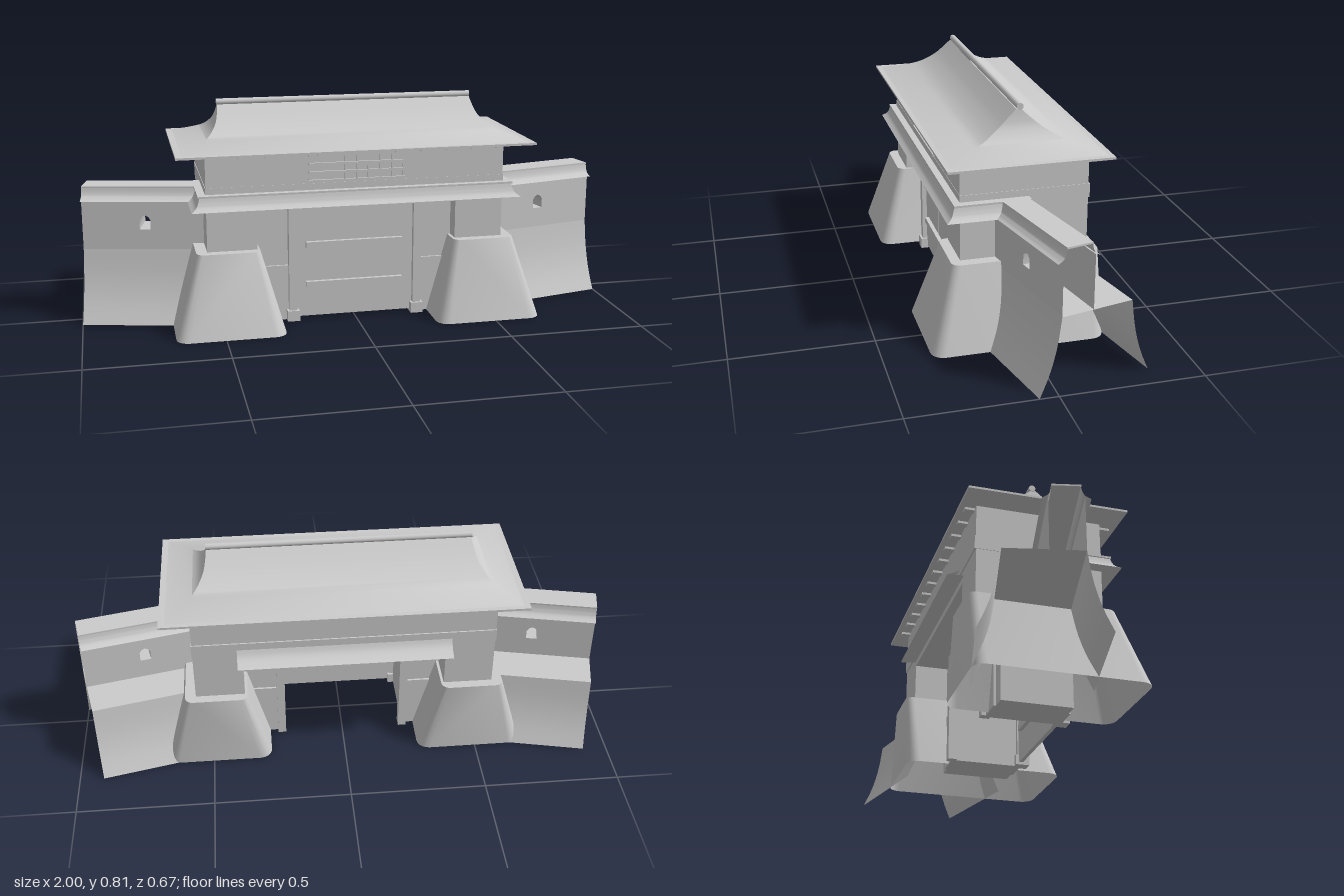
import * as THREE from 'three';
import { toCreasedNormals } from 'three/addons/utils/BufferGeometryUtils.js';

const solid = new THREE.MeshStandardMaterial({ color: 0xcccccc });
const shell = new THREE.MeshStandardMaterial({ color: 0xcccccc, side: THREE.DoubleSide });

function add(parent, name, geometry, material = solid) {
  const mesh = new THREE.Mesh(geometry, material);
  mesh.name = name;
  parent.add(mesh);
  return mesh;
}

// Box given by its min and max on each axis
function box(parent, name, x0, x1, y0, y1, z0, z1) {
  const mesh = add(parent, name, new THREE.BoxGeometry(x1 - x0, y1 - y0, z1 - z0));
  mesh.position.set((x0 + x1) / 2, (y0 + y1) / 2, (z0 + z1) / 2);
  return mesh;
}

// Surface through rows of points, each row with the same number of points
function loft(rows, closed = false, crease = 0.6) {
  const n = rows[0].length, index = [];
  for (let r = 0; r < rows.length - 1; r++) {
    for (let i = 0; i < (closed ? n : n - 1); i++) {
      const a = r * n + i, b = r * n + (i + 1) % n;
      index.push(a, b, b + n, a, b + n, a + n);
    }
  }
  const g = new THREE.BufferGeometry();
  g.setAttribute('position', new THREE.Float32BufferAttribute(rows.flat(2), 3));
  g.setIndex(index);
  return toCreasedNormals(g, crease);
}

// Smooth [a, b] profile through a few points
function smooth(points, steps) {
  return new THREE.SplineCurve(points.map(p => new THREE.Vector2(...p))).getPoints(steps).map(p => [p.x, p.y]);
}

// Rounded rectangle ring at height y
function roundRing(x0, x1, z0, z1, r, y) {
  const ring = [];
  const corners = [[x1 - r, z1 - r], [x0 + r, z1 - r], [x0 + r, z0 + r], [x1 - r, z0 + r]];
  corners.forEach(([cx, cz], c) => {
    for (let k = 0; k <= 5; k++) {
      const a = (c + k / 5) * Math.PI / 2;
      ring.push([cx + r * Math.cos(a), y, cz + r * Math.sin(a)]);
    }
  });
  return ring;
}

// Swept roof: rectangles that shrink concavely towards the ridge
function upperRoof() {
  const g = new THREE.Group();
  g.name = 'upperRoof';
  const zc = -0.01;
  const xs = smooth([[0.65, 0.65], [0.61, 0.66], [0.555, 0.68], [0.52, 0.70], [0.495, 0.73], [0.485, 0.76], [0.48, 0.79]], 24);
  const zs = smooth([[0.282, 0.65], [0.245, 0.66], [0.18, 0.68], [0.125, 0.70], [0.076, 0.73], [0.04, 0.76], [0.008, 0.79]], 24);
  const rows = xs.map(([hx, y], i) => {
    const hz = zs[i][0];
    return [[hx, y, zc + hz], [hx, y, zc - hz], [-hx, y, zc - hz], [-hx, y, zc + hz]];
  });
  add(g, 'roofSurface', loft(rows, true), shell);
  box(g, 'eave', -0.655, 0.655, 0.646, 0.654, -0.295, 0.275);
  const ridge = add(g, 'ridge', new THREE.CylinderGeometry(0.012, 0.012, 0.965, 16));
  ridge.rotation.z = Math.PI / 2;
  ridge.position.set(0, 0.798, -0.015);
  for (let i = 0; i < 12; i++) {
    const x = -0.52 + i * 1.04 / 11;
    box(g, 'frontRafter', x - 0.012, x + 0.012, 0.637, 0.647, 0.2, 0.253);
    box(g, 'backRafter', x - 0.012, x + 0.012, 0.637, 0.647, -0.276, -0.23);
  }
  return g;
}

// Skirt roof around the front and part of the sides, and one at the back
function lowerRoofs() {
  const g = new THREE.Group();
  g.name = 'lowerRoofs';
  const slope = smooth([[0.025, 0.497], [0.03, 0.48], [0.038, 0.465], [0.055, 0.452]], 8);
  const ring = ([o, y]) => {
    const x = 0.55 + o, z = 0.21 + o;
    return [[-x, y, -0.03], [-x, y, z], [x, y, z], [x, y, -0.03]];
  };
  add(g, 'frontSkirtRoof', loft([[0, 0.497], ...slope, [0, 0.457]].map(ring)), shell);
  box(g, 'skirtCap', -0.58, 0.58, 0.497, 0.504, -0.03, 0.236);
  const back = smooth([[0.005, 0.5], [0.015, 0.48], [0.032, 0.465], [0.06, 0.452]], 8);
  const line = ([o, y]) => [[-0.39, y, -0.24 - o], [0.39, y, -0.24 - o]];
  add(g, 'backSkirtRoof', loft([...back, [0, 0.457]].map(line)), shell);
  return g;
}

// Projecting lattice window
function latticeWindow() {
  const g = new THREE.Group();
  g.name = 'latticeWindow';
  for (let i = 0; i < 9; i++) {
    const x = -0.178 + i * 0.0435;
    box(g, 'upright', x - 0.003, x + 0.003, 0.535, 0.633, 0.208, 0.215);
  }
  for (let i = 0; i < 4; i++) {
    const y = 0.537 + i * 0.031;
    box(g, 'bar', -0.182, 0.174, y - 0.004, y + 0.004, 0.208, 0.218);
  }
  return g;
}

// Gate, posts and passage walls
function gateway() {
  const g = new THREE.Group();
  g.name = 'gateway';
  box(g, 'gate', -0.22, 0.22, 0.01, 0.435, 0.145, 0.16);
  box(g, 'gateSeam', -0.003, 0.003, 0.01, 0.435, 0.155, 0.162);
  for (const y of [0.135, 0.287]) {
    box(g, 'frontRail', -0.185, 0.178, y - 0.011, y + 0.011, 0.158, 0.175);
    box(g, 'backRail', -0.185, 0.178, y - 0.011, y + 0.011, 0.13, 0.147);
  }
  for (const s of [-1, 1]) {
    const part = (name, a, b, ...rest) => box(g, name, Math.min(s * a, s * b), Math.max(s * a, s * b), ...rest);
    part('passageWall', 0.235, 0.40, 0, 0.44, -0.11, 0.15);
    part('lowerPanel', 0.25, 0.345, 0, 0.21, -0.118, 0.158);
    part('frontPost', 0.22, 0.25, 0, 0.44, 0.14, 0.178);
    part('backPost', 0.22, 0.25, 0, 0.44, -0.135, -0.1);
    part('postFoot', 0.212, 0.258, 0, 0.04, 0.132, 0.186);
  }
  return g;
}

// Side wall in its own frame: x runs outward to 0, z runs from the front foot backward
function wing() {
  const g = new THREE.Group();
  g.name = 'wing';
  const u0 = -0.45, front = -0.075, back = -0.19;
  const flare = smooth([[0, 0], [0.035, 0.08], [0.06, 0.17], [0.075, 0.27]], 8);
  const section = [...flare.map(([s, y]) => [-s, y]), ...flare.map(([s, y]) => [s - 0.41, y]).reverse()];
  add(g, 'wallBase', loft(section.map(([z, y]) => [[u0, y, z], [0, y, z]])), shell);

  // Parapet faces with a pointed loophole through both
  const hole = [[-0.25, 0.345], [-0.21, 0.345], [-0.21, 0.38], [-0.218, 0.392], [-0.23, 0.398], [-0.242, 0.392], [-0.25, 0.38]];
  const face = new THREE.Shape([[u0, 0.27], [0, 0.27], [0, 0.46], [u0, 0.46]].map(p => new THREE.Vector2(...p)));
  face.holes.push(new THREE.Path(hole.map(p => new THREE.Vector2(...p))));
  for (const z of [front, back]) add(g, 'parapetFace', new THREE.ShapeGeometry(face), shell).position.z = z;
  add(g, 'loophole', loft([front, back].map(z => hole.map(([x, y]) => [x, y, z])), true), shell);

  // Parapet roof with curved slopes and a flat cap
  const eave = smooth([[0.077, 0.453], [0.058, 0.464], [0.049, 0.48], [0.045, 0.5]], 8);
  const mid = (front + back) / 2;
  const roof = [...eave.map(([o, y]) => [mid + o, y]), ...eave.map(([o, y]) => [mid - o, y]).reverse()];
  add(g, 'parapetRoof', loft(roof.map(([z, y]) => [[u0, y, z], [0, y, z]])), shell);
  box(g, 'parapetCap', u0, 0, 0.498, 0.504, mid - 0.047, mid + 0.047);

  g.rotation.y = 0.218;
  g.position.set(1, 0, 0.065);
  return g;
}

export function createModel() {
  const model = new THREE.Group();
  model.name = 'gatehouse';

  // Hall above the passage
  box(model, 'hall', -0.55, 0.55, 0.435, 0.646, -0.24, 0.21);
  box(model, 'hallBand', -0.552, 0.552, 0.478, 0.528, -0.245, 0.211);
  model.add(latticeWindow(), upperRoof(), lowerRoofs(), gateway());

  // Piers, battered bases and side walls on both sides
  for (const s of [-1, 1]) {
    const pier = box(model, 'pier', 0.37, 0.55, 0.28, 0.44, -0.24, 0.21);
    pier.position.x *= s;
    const rings = [
      roundRing(0.28, 0.675, -0.275, 0.335, 0.045, 0),
      roundRing(0.36, 0.59, -0.275, 0.245, 0.03, 0.293),
    ];
    const top = rings[1].map(() => [0.475, 0.293, 0]);
    const base = [...rings, top].map(ring => ring.map(([x, y, z]) => [s * x, y, z]));
    add(model, 'batteredBase', loft(base, true), shell);
    const side = new THREE.Group();
    side.name = s > 0 ? 'leftWall' : 'rightWall';
    side.add(wing());
    side.scale.x = s;
    model.add(side);
  }
  return model;
}
